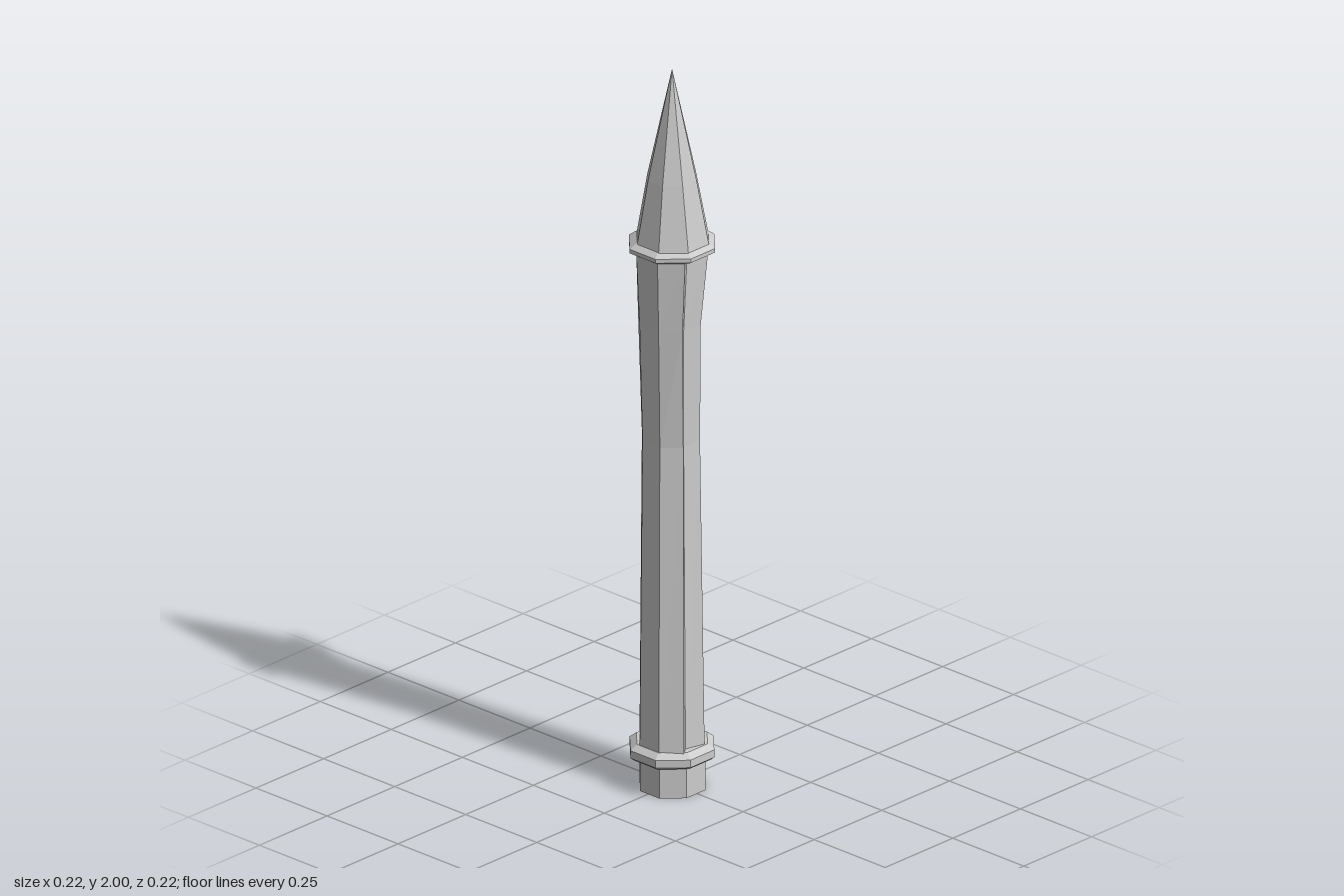
import * as THREE from 'three';

const material = new THREE.MeshStandardMaterial({ color: 0xcccccc, flatShading: true });

// Octagonal cross-section with flat sides, fitted to the given x and z limits.
// A groove depth adds a small step running down the front face.
function ring(y, x0, x1, z0, z1, groove = 0) {
  const cx = (x0 + x1) / 2, cz = (z0 + z1) / 2, hx = (x1 - x0) / 2, hz = (z1 - z0) / 2;
  const points = [];
  for (let i = 0; i < 8; i++) {
    const a = Math.PI / 8 + (i * Math.PI) / 4, k = 1 / Math.cos(Math.PI / 8);
    points.push(new THREE.Vector3(cx + hx * k * Math.cos(a), y, cz + hz * k * Math.sin(a)));
  }
  if (groove > 0) {
    const ridge = points[2];
    ridge.x -= groove * 0.5;
    points.splice(2, 0, new THREE.Vector3(ridge.x + groove * 1.5, y, ridge.z - groove));
  }
  return points;
}

const evenRing = (y, r) => ring(y, -r, r, -r, r);

// Skin a stack of cross-sections from bottom to top and close both ends.
function loft(name, rings) {
  const positions = [];
  const tri = (...corners) => corners.forEach((p) => positions.push(p.x, p.y, p.z));
  const n = rings[0].length;
  for (let j = 0; j < rings.length - 1; j++) {
    for (let i = 0; i < n; i++) {
      const k = (i + 1) % n, lower = rings[j], upper = rings[j + 1];
      tri(lower[i], upper[i], lower[k]);
      tri(upper[i], upper[k], lower[k]);
    }
  }
  const centre = (r) => r.reduce((s, p) => s.add(p), new THREE.Vector3()).divideScalar(n);
  const first = rings[0], last = rings[rings.length - 1];
  const bottom = centre(first), top = centre(last);
  for (let i = 0; i < n; i++) {
    const k = (i + 1) % n;
    tri(bottom, first[i], first[k]);
    tri(top, last[k], last[i]);
  }
  const geometry = new THREE.BufferGeometry();
  geometry.setAttribute('position', new THREE.Float32BufferAttribute(positions, 3));
  geometry.computeVertexNormals();
  const mesh = new THREE.Mesh(geometry, material);
  mesh.name = name;
  return mesh;
}

export function createModel() {
  const model = new THREE.Group();
  model.name = 'fencePost';

  // Foot below the lower collar
  model.add(loft('foot', [
    ring(0, -0.088, 0.08, -0.077, 0.088),
    ring(0.1, -0.088, 0.08, -0.077, 0.088),
  ]));

  // Uneven hewn shaft with a narrow waist
  model.add(loft('shaft', [
    ring(0.1, -0.089, 0.08, -0.077, 0.086, 0.014),
    ring(0.97, -0.07, 0.076, -0.08, 0.067, 0.003),
    ring(1.3, -0.083, 0.067, -0.082, 0.079, 0.01),
    ring(1.51, -0.093, 0.095, -0.09, 0.09, 0.016),
  ]));

  // Bevelled collars
  model.add(loft('lowerCollar', [
    evenRing(0.085, 0.098), evenRing(0.093, 0.107), evenRing(0.114, 0.107), evenRing(0.128, 0.09),
  ]));
  model.add(loft('upperCollar', [
    evenRing(1.499, 0.098), evenRing(1.506, 0.109), evenRing(1.517, 0.109), evenRing(1.532, 0.09),
  ]));

  // Slightly bulging pointed tip
  model.add(loft('spire', [
    ring(1.52, -0.095, 0.091, -0.088, 0.097),
    ring(1.7, -0.064, 0.06, -0.06, 0.064),
    ring(2, -0.003, -0.002, 0.002, 0.003),
  ]));

  return model;
}
